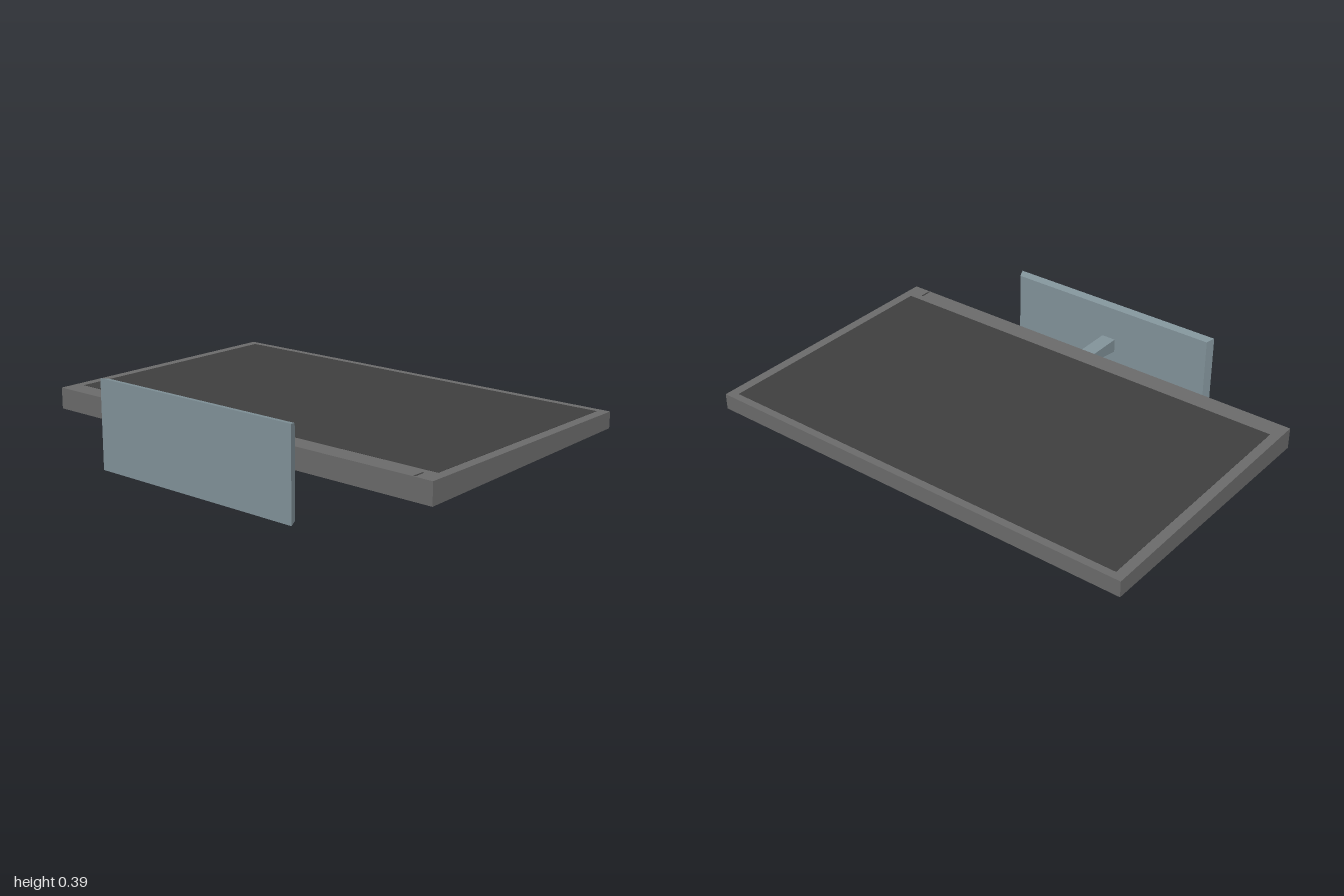
import * as THREE from 'three';

// Box spanning the given ranges; rule(v) then shifts each corner.
function block(name, material, x, y, z, rule) {
  const geometry = new THREE.BoxGeometry(x[1] - x[0], y[1] - y[0], z[1] - z[0]);
  geometry.translate((x[0] + x[1]) / 2, (y[0] + y[1]) / 2, (z[0] + z[1]) / 2);
  if (rule) {
    const pos = geometry.attributes.position;
    const v = new THREE.Vector3();
    for (let i = 0; i < pos.count; i++) {
      v.fromBufferAttribute(pos, i);
      rule(v);
      pos.setXYZ(i, v.x, v.y, v.z);
    }
    geometry.computeVertexNormals();
  }
  const mesh = new THREE.Mesh(geometry, material);
  mesh.name = name;
  return mesh;
}

export function createModel() {
  const casingGrey = new THREE.MeshStandardMaterial({ color: 0x6b6b6b });
  casingGrey.name = 'casing grey';
  const screenDark = new THREE.MeshStandardMaterial({ color: 0x3f3f3f });
  screenDark.name = 'screen dark grey';
  const standBlue = new THREE.MeshStandardMaterial({ color: 0x82939a });
  standBlue.name = 'stand blue grey';

  const monitor = new THREE.Group();
  monitor.name = 'monitor';

  const TOP = 0.228;

  // Casing lies on its back and gets thinner away from the stand
  monitor.add(block('casing', casingGrey, [-1, 1], [0.134, TOP], [-0.705, 0.511], (v) => {
    if (v.y < 0.2 && v.z < 0) v.y = 0.157;
  }));

  // Screen panel and power mark, set as thin plates on the casing face
  monitor.add(block('screen', screenDark, [-0.957, 0.957], [TOP - 0.002, TOP + 0.001], [-0.671, 0.422]));
  monitor.add(block('powerMark', screenDark, [0.912, 0.919], [TOP - 0.002, TOP + 0.001], [0.455, 0.506]));

  // Stand neck deepens towards the base
  monitor.add(block('standNeck', standBlue, [-0.033, 0.033], [0.19, TOP], [0.505, 0.672], (v) => {
    if (v.y < 0.2 && v.z > 0.6) v.y = 0.166;
  }));

  // Stand base plate, tapered towards the casing
  monitor.add(block('standBase', standBlue, [-0.513, 0.513], [0, 0.386], [0.669, 0.705], (v) => {
    if (v.z < 0.69) {
      v.x *= 0.972;
      v.y += v.y > 0.19 ? -0.007 : 0.007;
    }
  }));

  return monitor;
}
